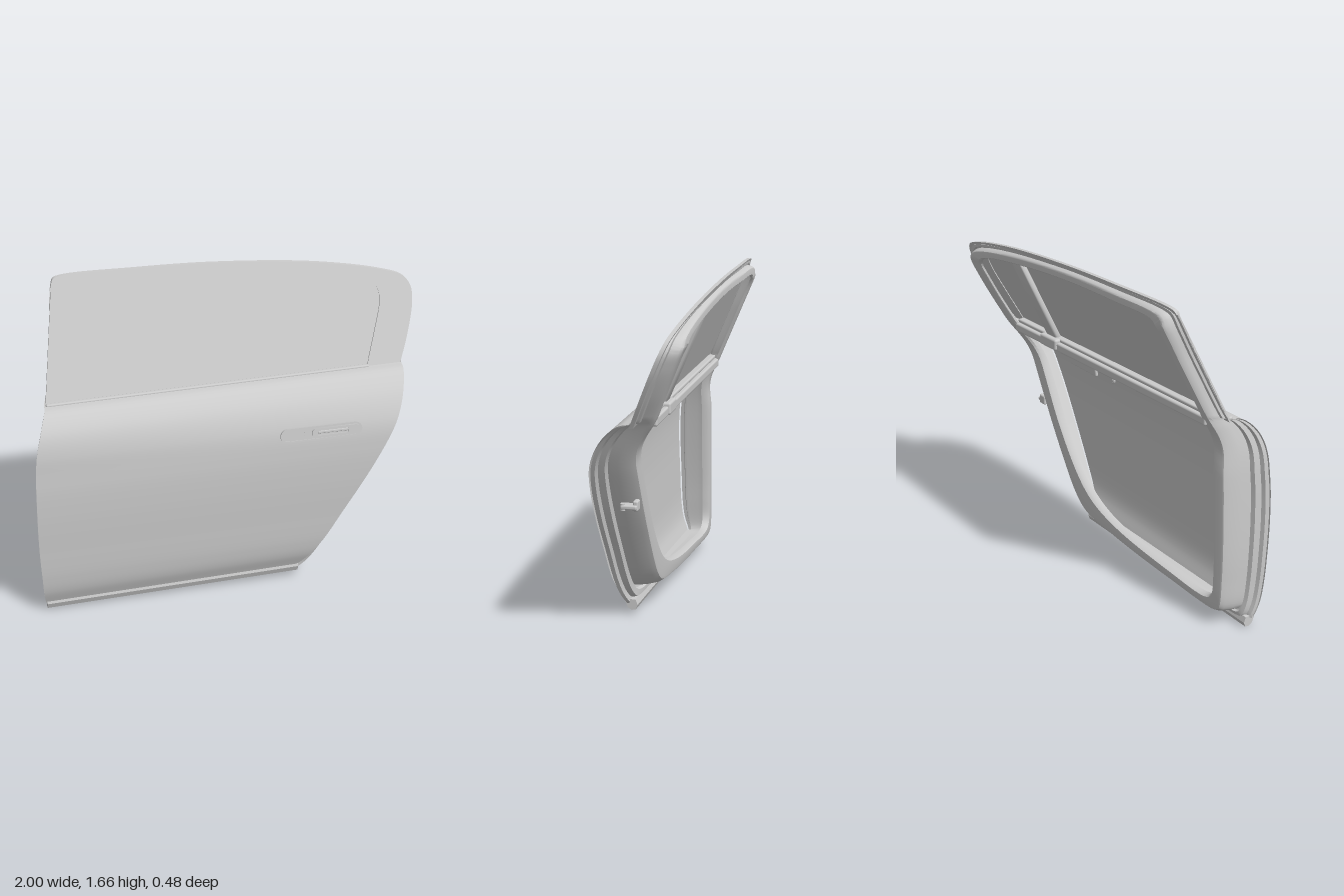
import * as THREE from 'three';
import { toCreasedNormals } from 'three/addons/utils/BufferGeometryUtils.js';
import { RoundedBoxGeometry } from 'three/addons/geometries/RoundedBoxGeometry.js';
import { ParametricGeometry } from 'three/addons/geometries/ParametricGeometry.js';

const { lerp, smoothstep, clamp } = THREE.MathUtils;
const material = new THREE.MeshStandardMaterial({ color: 0xcccccc, side: THREE.DoubleSide });
const curve = (pts, closed) =>
  new THREE.CatmullRomCurve3(pts.map(([x, y]) => new THREE.Vector3(x, y, 0)), closed, 'centripetal');

// Door outline and inner opening: same number of points, counter-clockwise from the lower front corner
const outline = curve([
  [-0.97, 0.04], [-0.95, 0.03], [-0.5, 0.035], [0, 0.045], [0.32, 0.05], [0.36, 0.08], [0.55, 0.39],
  [0.71, 0.66], [0.83, 0.89], [0.9, 1.08], [0.955, 1.22], [0.995, 1.36], [0.995, 1.44], [0.96, 1.49],
  [0.85, 1.53], [0.5, 1.595], [0, 1.64], [-0.4, 1.653], [-0.78, 1.653], [-0.81, 1.64], [-0.85, 1.4],
  [-0.9, 1.13], [-0.94, 1.04], [-0.98, 0.9], [-0.997, 0.6], [-0.992, 0.25]], true);
const opening = curve([
  [-0.83, 0.17], [-0.79, 0.135], [-0.5, 0.14], [-0.05, 0.19], [0.15, 0.26], [0.28, 0.36], [0.45, 0.58],
  [0.57, 0.8], [0.65, 0.96], [0.7, 1.1], [0.76, 1.25], [0.79, 1.36], [0.8, 1.42], [0.77, 1.46],
  [0.7, 1.485], [0.4, 1.53], [0, 1.565], [-0.4, 1.575], [-0.68, 1.57], [-0.71, 1.54], [-0.75, 1.35],
  [-0.79, 1.13], [-0.8, 1.03], [-0.81, 0.9], [-0.83, 0.6], [-0.84, 0.3]], true);
// Side profile of the lower skin as (z, y)
const profile = curve([
  [0.185, 0.05], [0.213, 0.13], [0.227, 0.22], [0.236, 0.4], [0.242, 0.6], [0.238, 0.76], [0.22, 0.9],
  [0.18, 1.0], [0.13, 1.06], [0.085, 1.09], [0.04, 1.1]], false);

// x on a curve stretch where y runs from low (t0) to high (t1)
function xAtY(c, y, t0, t1) {
  for (let i = 0; i < 24; i++) {
    const m = (t0 + t1) / 2;
    if (c.getPoint(m).y < y) t0 = m; else t1 = m;
  }
  return c.getPoint(t0).x;
}
const plane = (x, y) => 0.03 - 0.03 * x - 0.44 * (y - 1.1);
const beltTilt = (x, y) => -0.03 * x * smoothstep(y, 0.8, 1.1);
const skinZ = (x, y) =>
  y > 1.1 ? plane(x, y) : xAtY(profile, clamp(y, 0.05, 1.1), 0, 1) + beltTilt(x, y);
const innerZ = (x, y) =>
  lerp(0.03, Math.max(plane(x, y) - 0.085, -0.235), smoothstep(y, 0.82, 1.1));

function add(group, name, geometry, x = 0, y = 0, z = 0) {
  const mesh = new THREE.Mesh(geometry, material);
  mesh.name = name;
  mesh.position.set(x, y, z);
  group.add(mesh);
  return mesh;
}

// Leans a flat part (z = depth) into the sloping plane of the window
function lean(geo) {
  geo.applyMatrix4(new THREE.Matrix4().set(
    1, 0, 0, 0, 0, 1, 0, 0, -0.03, -0.44, 1, plane(0, 0), 0, 0, 0, 1));
  return toCreasedNormals(geo, 0.5);
}
function plate(pts, depth, back) {
  const shape = new THREE.Shape(pts.map(p => new THREE.Vector2(p.x, p.y)));
  return lean(new THREE.ExtrudeGeometry(shape, { depth, bevelEnabled: false }).translate(0, 0, back));
}
function capsule(w, h, Type = THREE.Shape) {
  const r = h / 2, a = w / 2 - r, s = new Type();
  s.absarc(a, 0, r, -Math.PI / 2, Math.PI / 2, false);
  s.absarc(-a, 0, r, Math.PI / 2, Math.PI * 1.5, false);
  s.closePath();
  return s;
}

export function createModel() {
  const door = new THREE.Group();
  door.name = 'carDoor';

  // Curved outer skin between the front and rear edges
  add(door, 'outerSkin', new ParametricGeometry((u, v, p) => {
    const { x: z, y } = profile.getPoint(v);
    const x = lerp(xAtY(outline, y, 1, 21 / 26), xAtY(outline, y, 4 / 26, 9.5 / 26), u);
    p.set(x, y + (x + 0.97) * 0.02 * (1 - smoothstep(y, 0.05, 0.3)), z + beltTilt(x, y));
  }, 32, 60));

  // Stepped inner frame: each step is (way from outline to opening, way from skin to inner face)
  const steps = [[0, 0], [0.02, 0.1], [0.14, 0.14], [0.17, 0.3], [0.3, 0.34], [0.33, 0.24], [0.38, 0.24],
    [0.41, 0.55], [0.47, 0.85], [0.54, 0.98], [0.6, 1], [0.93, 1], [0.98, 0.93], [1, 0.8]];
  add(door, 'innerFrame', toCreasedNormals(new ParametricGeometry((u, v, p) => {
    const [s, k] = steps[Math.min(Math.round(v * (steps.length - 1)), steps.length - 1)];
    p.lerpVectors(outline.getPoint(u % 1), opening.getPoint(u % 1), s);
    p.z = lerp(skinZ(p.x, p.y) - 0.008, innerZ(p.x, p.y), k);
  }, 208, steps.length - 1), 0.6));

  // Window surround and glass
  const glassEdge = curve([[0.73, 1.085], [0.735, 1.115], [0.785, 1.26], [0.822, 1.38], [0.82, 1.44],
    [0.78, 1.485], [0.7, 1.512], [0.4, 1.573], [0, 1.613], [-0.4, 1.626], [-0.815, 1.628]], false).getPoints(70);
  const outerEdge = [];
  for (let i = 0; i <= 90; i++) outerEdge.push(outline.getPoint(lerp(9, 19, i / 90) / 26));
  add(door, 'windowSurround', plate([...outerEdge, ...glassEdge.slice().reverse()], 0.02, -0.018));
  add(door, 'windowGlass', plate([...glassEdge, { x: -0.905, y: 1.085 }], 0.01, -0.014));

  // Window divider on the inside
  const bar = new RoundedBoxGeometry(0.09, 0.45, 0.035, 2, 0.012);
  bar.applyMatrix4(new THREE.Matrix4().makeShear(0, 0, 0.09, 0, 0, 0)).translate(0.43, 1.31, -0.04);
  add(door, 'windowDivider', lean(bar));

  // Belt line: outer moulding and inner rails
  const belt = new THREE.Group();
  belt.name = 'beltLine';
  belt.rotation.y = 0.03;
  door.add(belt);
  add(belt, 'outerBeltMoulding', new RoundedBoxGeometry(1.64, 0.02, 0.025, 2, 0.008), -0.085, 1.098, 0.035);
  add(belt, 'innerBeltRail', new RoundedBoxGeometry(1.54, 0.045, 0.03, 2, 0.01), -0.05, 1.075, -0.035);
  add(belt, 'innerBeltSeal', new RoundedBoxGeometry(1.54, 0.02, 0.04, 2, 0.008), -0.05, 1.105, -0.01);
  add(belt, 'dividerFoot', new RoundedBoxGeometry(0.14, 0.06, 0.05, 2, 0.012), 0.41, 1.085, -0.035);

  // Sill strip along the bottom edge
  const sill = new THREE.Shape([[-0.188, 0.058], [-0.192, 0.045], [-0.18, 0.015], [-0.16, 0.003], [-0.14, 0.006],
    [-0.13, 0.03], [-0.14, 0.058]].map(p => new THREE.Vector2(...p)));
  const sillGeo = new THREE.ExtrudeGeometry(sill, { depth: 1.31, bevelEnabled: false }).rotateY(Math.PI / 2);
  add(door, 'sillStrip', toCreasedNormals(sillGeo, 0.6), -0.97, 0, 0).rotation.z = 0.018;

  // Flush outer handle
  const handle = new THREE.Group();
  handle.name = 'doorHandle';
  handle.position.set(0.43, 0.87, skinZ(0.43, 0.87));
  handle.rotation.x = -0.16;
  door.add(handle);
  const bezel = capsule(0.42, 0.074);
  bezel.holes.push(capsule(0.4, 0.056, THREE.Path));
  const solid = (s, depth) => new THREE.ExtrudeGeometry(s, { depth, bevelEnabled: false, curveSegments: 16 });
  add(handle, 'handleBezel', toCreasedNormals(solid(bezel, 0.018), 0.6), 0, 0, -0.01);
  add(handle, 'handleBase', toCreasedNormals(solid(capsule(0.41, 0.066), 0.018), 0.6), 0, 0, -0.015);
  const grip = capsule(0.25, 0.05);
  grip.holes.push(new THREE.Path([[-0.095, -0.012], [0.065, -0.012], [0.065, 0.012], [-0.095, 0.012]]
    .map(p => new THREE.Vector2(...p))));
  add(handle, 'handleGrip', toCreasedNormals(solid(grip, 0.012), 0.6), 0.075, 0, 0);
  add(handle, 'handleBar', new RoundedBoxGeometry(0.16, 0.014, 0.01, 2, 0.004), 0.06, 0.004, 0.006);
  add(handle, 'handleCarrier', new RoundedBoxGeometry(0.24, 0.05, 0.02, 2, 0.008), 0.05, 0, -0.02);
  for (const y of [-0.008, 0.008]) {
    add(handle, 'handleStud', new THREE.CylinderGeometry(0.004, 0.004, 0.01, 10).rotateX(Math.PI / 2), -0.085, y, 0);
  }

  // Latch on the rear edge
  const latch = new THREE.Group();
  latch.name = 'latch';
  latch.position.set(0.65, 0.65, 0.08);
  door.add(latch);
  add(latch, 'latchArm', new RoundedBoxGeometry(0.06, 0.022, 0.08, 2, 0.008));
  add(latch, 'latchBase', new RoundedBoxGeometry(0.05, 0.05, 0.025, 2, 0.008), -0.01, 0.005, -0.03);
  add(latch, 'latchPin', new THREE.CylinderGeometry(0.012, 0.012, 0.035, 16), 0.015, 0, 0.03);

  return door;
}
